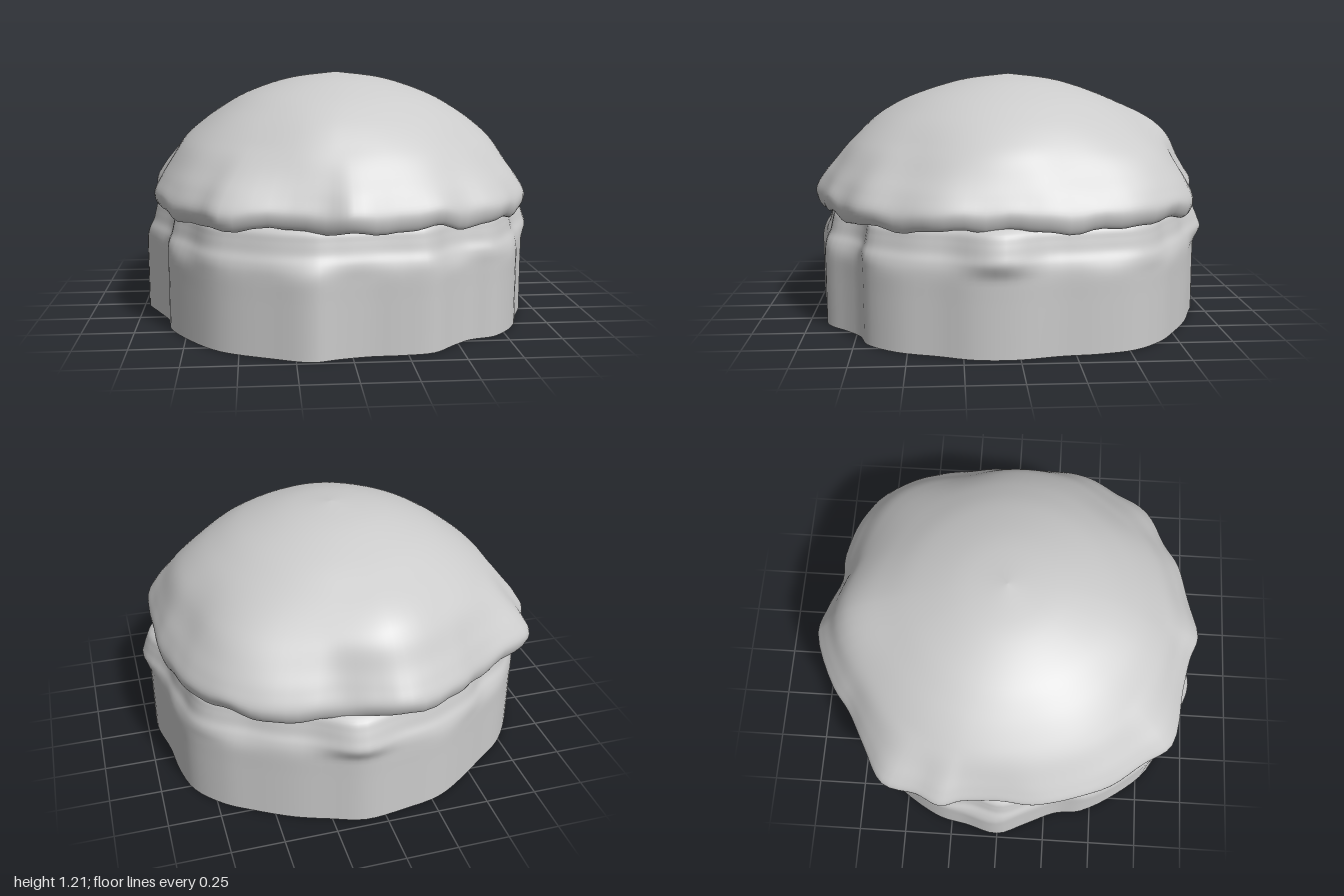
import * as THREE from 'three';

const material = new THREE.MeshStandardMaterial({ color: 0xcccccc, side: THREE.DoubleSide });

// Lofts a closed outline [x, z] along a profile [scale, y]; adjust(p, scale) dents each point.
function loft(name, outline, profile, segments, rows, adjust) {
  const ring = new THREE.CatmullRomCurve3(
    outline.map(([x, z]) => new THREE.Vector3(x, 0, z)), true, 'centripetal');
  const section = new THREE.SplineCurve(profile.map(([s, y]) => new THREE.Vector2(s, y)));
  const positions = [], index = [];
  for (let j = 0; j <= rows; j++) {
    const { x: s, y } = section.getPoint(j / rows);
    for (let i = 0; i < segments; i++) {
      const p = ring.getPoint(i / segments);
      p.set(p.x * s, y, p.z * s);
      adjust(p, s);
      positions.push(p.x, p.y, p.z);
      if (j === rows) continue;
      const a = j * segments + i, b = j * segments + (i + 1) % segments;
      index.push(a, a + segments, b, b, a + segments, b + segments);
    }
  }
  const geometry = new THREE.BufferGeometry();
  geometry.setAttribute('position', new THREE.Float32BufferAttribute(positions, 3));
  geometry.setIndex(index);
  geometry.computeVertexNormals();
  const mesh = new THREE.Mesh(geometry, material);
  mesh.name = name;
  return mesh;
}

// Smooth bump weight around a point
const near = (p, x, y, z, size) =>
  Math.exp(-((p.x - x) ** 2 + (p.y - y) ** 2 + (p.z - z) ** 2) / (size * size));

export function createModel() {
  const group = new THREE.Group();
  group.name = 'bun';

  // Open, fluted base wall with a rounded shoulder tucked under the cap
  const baseOutline = [
    [0.95, 0.02], [0.94, 0.2], [0.88, 0.36], [0.81, 0.55], [0.69, 0.69], [0.57, 0.73],
    [0.48, 0.8], [0.37, 0.9], [0.22, 0.925], [0.08, 0.93], [-0.06, 0.955], [-0.18, 0.985],
    [-0.36, 0.92], [-0.58, 0.81], [-0.72, 0.65], [-0.83, 0.45], [-0.85, 0.31],
    [-0.92, 0.15], [-0.98, 0], [-0.94, -0.17], [-0.91, -0.31], [-0.83, -0.46],
    [-0.73, -0.59], [-0.6, -0.69], [-0.47, -0.79], [-0.29, -0.9], [-0.1, -0.94],
    [0.1, -0.96], [0.26, -0.91], [0.42, -0.85], [0.6, -0.75], [0.72, -0.67],
    [0.84, -0.53], [0.89, -0.36], [0.91, -0.18],
  ];
  const baseProfile = [
    [1, 0], [1, 0.12], [1, 0.25], [1, 0.36], [0.99, 0.415], [0.968, 0.46],
    [0.955, 0.51], [0.94, 0.555], [0.89, 0.59],
  ];
  group.add(loft('baseWall', baseOutline, baseProfile, 140, 36, (p) => {
    const a = Math.atan2(p.z, p.x);
    const shoulder = THREE.MathUtils.smoothstep(p.y, 0.34, 0.46);
    const swell = 1 + shoulder * (0.008 * Math.sin(a * 9 + 1) + 0.008 * Math.sin(a * 17)
      + 0.045 * near(p, 0.95, 0.46, 0.1, 0.18) + 0.055 * near(p, 0.1, 0.44, -0.97, 0.18));
    p.x *= swell;
    p.z *= swell;
  }));

  // Domed cap with an irregular rim curled in against the shoulder
  const capOutline = [
    [0.92, 0], [0.92, 0.2], [0.9, 0.38], [0.81, 0.56], [0.7, 0.72], [0.53, 0.81],
    [0.38, 0.89], [0.2, 0.94], [0, 0.99], [-0.12, 0.95], [-0.3, 0.91], [-0.58, 0.86],
    [-0.68, 0.72], [-0.8, 0.56], [-0.88, 0.36], [-0.92, 0.18], [-0.91, 0], [-0.92, -0.18],
    [-0.95, -0.28], [-0.9, -0.4], [-0.86, -0.57], [-0.68, -0.68], [-0.5, -0.78],
    [-0.38, -0.87], [-0.1, -0.98], [0.06, -0.94], [0.21, -0.89], [0.35, -0.89],
    [0.55, -0.83], [0.71, -0.7], [0.83, -0.53], [0.88, -0.38], [0.92, -0.17],
  ];
  const capProfile = [
    [0.89, 0.595], [0.955, 0.56], [0.985, 0.57], [1, 0.63], [0.965, 0.7], [0.92, 0.77],
    [0.85, 0.87], [0.76, 0.95], [0.64, 1.03], [0.48, 1.11], [0.25, 1.18], [0, 1.21],
  ];
  group.add(loft('domedCap', capOutline, capProfile, 132, 55, (p, s) => {
    const a = Math.atan2(p.z, p.x), r = Math.hypot(p.x, p.z);
    // Corners of the rim fade into a round crown
    const fade = THREE.MathUtils.smoothstep(s, 0.8, 1);
    const round = r > 1e-6 ? THREE.MathUtils.lerp(0.94 * s, r, fade) / r : 1;
    // Ridge at the back, bulges at the front and back right, shallow hollows elsewhere
    const push = round * (1 + 0.1 * near(p, -0.08, 0.95, -0.72, 0.2)
      + 0.05 * near(p, 0.6, 0.84, -0.6, 0.2) + 0.05 * near(p, -0.1, 1.06, 0.58, 0.22)
      - 0.03 * near(p, 0.62, 0.85, 0.5, 0.2) - 0.03 * near(p, 0.8, 0.85, -0.25, 0.18)
      - 0.03 * near(p, -0.65, 1, 0.1, 0.25));
    p.x *= push;
    p.z *= push;
    // Wavy lower edge
    const rim = 1 - THREE.MathUtils.smoothstep(p.y, 0.57, 0.75);
    p.y += rim * (0.009 * Math.sin(a * 7 + 0.5) + 0.007 * Math.sin(a * 16 + 2)
      + 0.005 * Math.sin(a * 29)) - 0.025 * near(p, 0.53, 0.55, 0.81, 0.12);
  }));

  return group;
}
